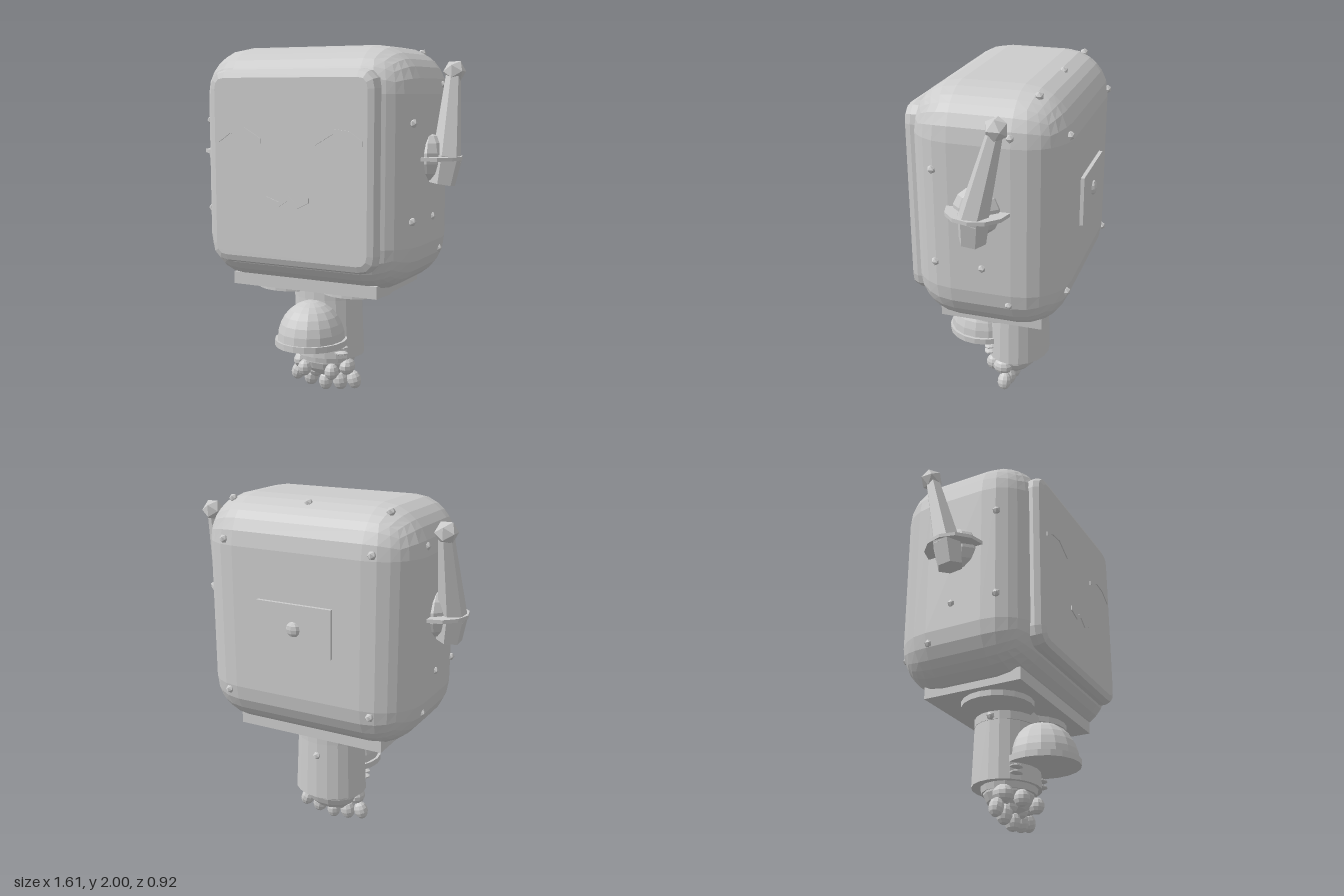
import * as THREE from 'three';
import { RoundedBoxGeometry } from 'three/addons/geometries/RoundedBoxGeometry.js';

export function createModel() {
  const root = new THREE.Group();
  const grey = new THREE.MeshStandardMaterial({ color: 0xcccccc, flatShading: true });
  grey.name = 'plain grey';

  const add = (name, geometry, x = 0, y = 0, z = 0, parent = root) => {
    const mesh = new THREE.Mesh(geometry, grey);
    mesh.name = name;
    mesh.position.set(x, y, z);
    parent.add(mesh);
    return mesh;
  };
  const ball = (name, x, y, z, rx, ry, rz, w = 10, h = 7) => {
    const mesh = add(name, new THREE.SphereGeometry(1, w, h), x, y, z);
    mesh.scale.set(rx, ry, rz);
    return mesh;
  };
  // Tapered rod from a to b
  const rod = (name, a, b, ra, rb, sides) => {
    const p = new THREE.Vector3(...a), q = new THREE.Vector3(...b);
    const dir = q.clone().sub(p);
    const mesh = add(name, new THREE.CylinderGeometry(rb, ra, dir.length(), sides));
    mesh.position.copy(p).add(q).multiplyScalar(0.5);
    mesh.quaternion.setFromUnitVectors(new THREE.Vector3(0, 1, 0), dir.normalize());
    return mesh;
  };

  // Head shell
  add('head', new RoundedBoxGeometry(1.28, 1.31, 0.84, 3, 0.255), 0, 1.34, 0);

  // Face plate with bevelled rim
  const w = 0.46, h = 0.485, r = 0.06;
  const face = new THREE.Shape();
  face.moveTo(-w + r, -h);
  face.lineTo(w - r, -h);
  face.quadraticCurveTo(w, -h, w, -h + r);
  face.lineTo(w, h - r);
  face.quadraticCurveTo(w, h, w - r, h);
  face.lineTo(-w + r, h);
  face.quadraticCurveTo(-w, h, -w, h - r);
  face.lineTo(-w, -h + r);
  face.quadraticCurveTo(-w, -h, -w + r, -h);
  add('facePlate', new THREE.ExtrudeGeometry(face, {
    depth: 0.05, bevelThickness: 0.045, bevelSize: 0.045, bevelSegments: 2, curveSegments: 3,
  }), 0, 1.34, 0.36);

  // Eyes and mouth as thin ribbons on the face
  const ribbon = (name, points, thick) => {
    const shape = new THREE.Shape([
      ...points.map(([x, y]) => new THREE.Vector2(x, y + thick / 2)),
      ...points.slice().reverse().map(([x, y]) => new THREE.Vector2(x, y - thick / 2)),
    ]);
    add(name, new THREE.ExtrudeGeometry(shape, { depth: 0.008, bevelEnabled: false }), 0, 0, 0.453);
  };
  for (const s of [-1, 1]) {
    ribbon(s > 0 ? 'leftEye' : 'rightEye',
      [[-0.135, 1.49], [-0.06, 1.54], [0.03, 1.55], [0.135, 1.49]].map(([x, y]) => [s * (0.3 - x), y]), 0.026);
  }
  ribbon('mouth', [[-0.13, 1.18], [-0.055, 1.155], [0, 1.19], [0.055, 1.15], [0.125, 1.185]], 0.026);

  // Back panel with knob
  add('backPanel', new THREE.BoxGeometry(0.45, 0.27, 0.06), 0, 1.335, -0.41);
  ball('backKnob', 0, 1.335, -0.44, 0.042, 0.042, 0.022, 8, 6);

  // Rivets around the shell
  const rivet = (x, y, z) => add('rivet', new THREE.IcosahedronGeometry(0.024, 0), x, y, z);
  rivet(0, 1.973, -0.26);
  for (const s of [-1, 1]) {
    rivet(s * 0.47, 1.965, -0.26);
    for (const y of [0.91, 1.77]) rivet(s * 0.44, y, -0.41);
    for (const [y, z, x] of [[1.59, 0.25, 0.625], [1.08, 0.25, 0.625], [1.08, -0.01, 0.635],
      [0.88, -0.15, 0.625], [1.79, -0.16, 0.625]]) rivet(s * x, y, z);
  }

  // Ears: hub, flat disc, stub and antenna
  for (const s of [-1, 1]) {
    const side = s > 0 ? 'left' : 'right';
    ball(side + 'EarHub', s * 0.63, 1.4, 0.01, 0.085, 0.13, 0.13);
    add(side + 'EarDisc', new THREE.CylinderGeometry(0.17, 0.17, 0.02, 12), s * 0.635, 1.4, 0.005);
    rod(side + 'EarStub', [s * 0.7, 1.26, 0.015], [s * 0.72, 1.41, 0], 0.072, 0.085, 6);
    rod(side + 'Antenna', [s * 0.72, 1.38, 0.005], [s * 0.708, 1.85, -0.115], 0.08, 0.04, 6);
    add(side + 'AntennaTip', new THREE.IcosahedronGeometry(0.063, 0), s * 0.712, 1.86, -0.12);
  }

  // Base plate and round pads beneath the head
  add('basePlate', new THREE.BoxGeometry(0.9, 0.07, 0.58), 0, 0.69, 0.01);
  for (const s of [-1, 1]) {
    add('basePad', new THREE.CylinderGeometry(0.2, 0.2, 0.035, 20), s * 0.21, 0.64, 0.04);
    rivet(s * 0.22, 0.59, 0.0);
  }

  // Body sleeve, collar and lower band
  add('body', new THREE.CylinderGeometry(0.198, 0.216, 0.43, 20), 0, 0.45, -0.015).scale.z = 0.87;
  add('collar', new THREE.CylinderGeometry(0.206, 0.206, 0.07, 20), 0, 0.61, -0.012).scale.z = 0.87;
  add('wristBand', new THREE.CylinderGeometry(0.18, 0.17, 0.05, 16), 0, 0.225, 0).scale.z = 0.87;
  rivet(0, 0.5, -0.19);

  // Front dome on a flat brim
  const dome = add('frontDome', new THREE.SphereGeometry(1, 16, 7, 0, Math.PI * 2, 0, Math.PI / 2), 0, 0.36, 0.2);
  dome.scale.set(0.19, 0.22, 0.205);
  add('domeBrim', new THREE.CylinderGeometry(0.205, 0.205, 0.035, 20), 0, 0.347, 0.2).scale.z = 1.05;

  // Small pads below the brim
  for (const s of [-1, 1]) {
    for (const y of [0.27, 0.305]) ball('smallPad', s * 0.15, y, 0.12, 0.045, 0.012, 0.035, 8, 5);
  }

  // Rounded foot with toes
  ball('foot', 0, 0.21, 0, 0.17, 0.12, 0.135, 14, 9);
  ball('middleToe', 0, 0.055, 0.02, 0.04, 0.055, 0.045);
  for (const s of [-1, 1]) {
    ball('outerToe', s * 0.185, 0.09, 0.02, 0.042, 0.055, 0.042).rotation.z = s * 0.3;
    ball('innerToe', s * 0.095, 0.075, 0.02, 0.045, 0.06, 0.045).rotation.z = s * 0.15;
    ball('frontToe', s * 0.088, 0.15, 0.12, 0.04, 0.048, 0.045);
    ball('sideKnuckle', s * 0.15, 0.17, 0.04, 0.045, 0.05, 0.06);
    ball('knuckle', s * 0.06, 0.125, 0.02, 0.05, 0.05, 0.06);
  }
  return root;
}
